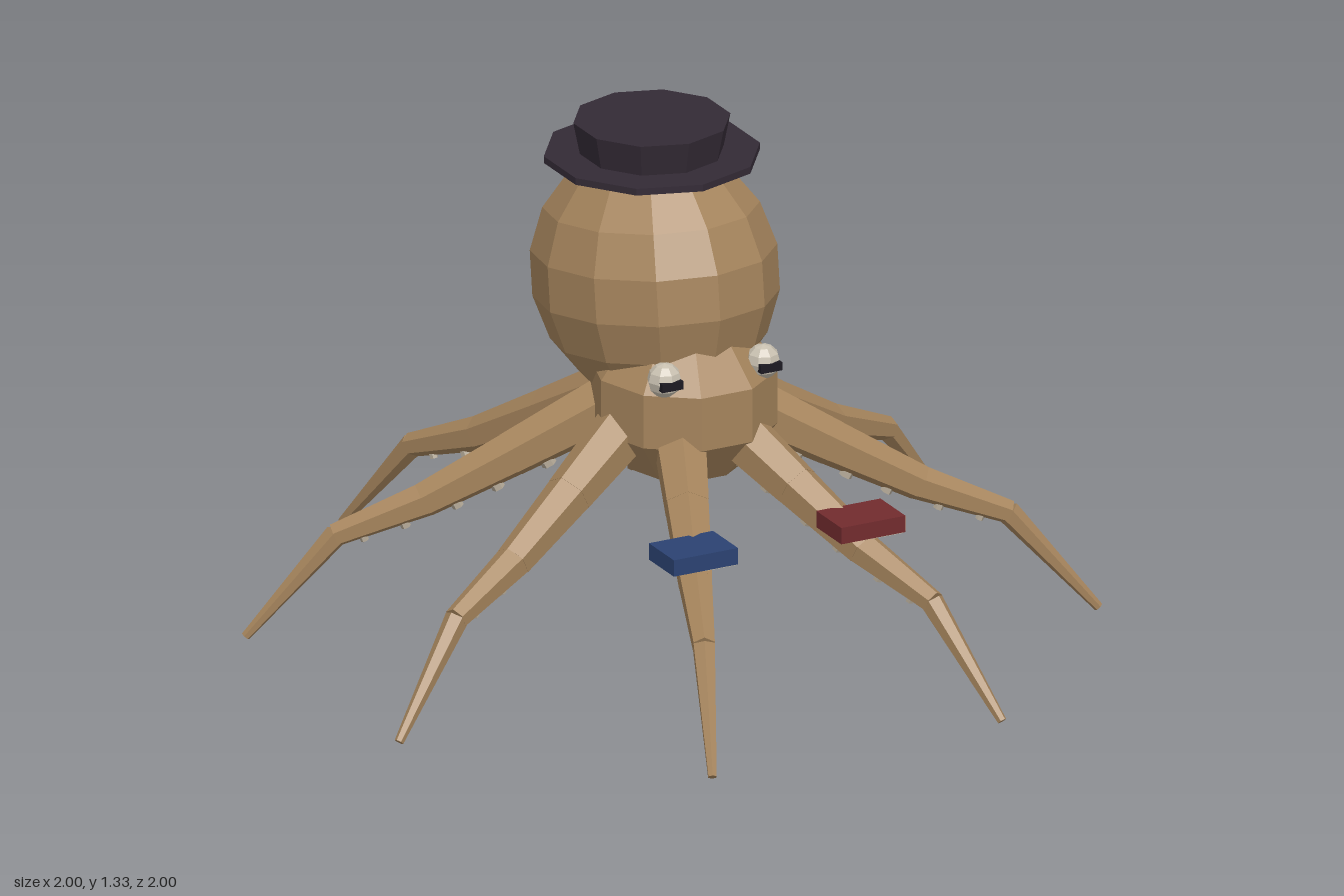
import * as THREE from 'three';

const mat = (name, color) => {
  const m = new THREE.MeshStandardMaterial({ color, flatShading: true });
  m.name = name;
  return m;
};

export function createModel() {
  const skin = mat('tan skin', 0xa5845c);
  const felt = mat('dark felt', 0x332a35);
  const white = mat('eye white', 0xc8c0b0);
  const black = mat('pupil black', 0x1c1a22);
  const sucker = mat('sucker grey', 0xb5aa98);
  const blue = mat('blue cover', 0x2b4272);
  const red = mat('red cover', 0x722b2e);
  const paper = mat('paper', 0xc8bfa8);

  const model = new THREE.Group();
  model.name = 'octopus';
  const add = (parent, name, geometry, material, x = 0, y = 0, z = 0) => {
    const mesh = new THREE.Mesh(geometry, material);
    mesh.name = name;
    mesh.position.set(x, y, z);
    parent.add(mesh);
    return mesh;
  };

  // Mantle leans back over the head
  const mantle = add(model, 'mantle', new THREE.SphereGeometry(1, 12, 9), skin, 0, 0.93, -0.092);
  mantle.scale.set(0.305, 0.34, 0.352);
  mantle.rotation.x = -0.12;
  const head = add(model, 'head', new THREE.SphereGeometry(1, 10, 5), skin, 0, 0.657, 0.064);
  head.scale.set(0.247, 0.23, 0.254);

  // Hat
  const hat = new THREE.Group();
  hat.name = 'hat';
  hat.position.z = -0.108;
  model.add(hat);
  add(hat, 'hatBrim', new THREE.CylinderGeometry(0.275, 0.275, 0.018, 10), felt, 0, 1.239, 0);
  add(hat, 'hatCrown', new THREE.CylinderGeometry(0.2, 0.182, 0.09, 10), felt, 0, 1.287, 0);

  // Eyes with slot pupils
  for (const side of [-1, 1]) {
    const eye = new THREE.Group();
    eye.name = side > 0 ? 'leftEye' : 'rightEye';
    eye.position.set(side * 0.14, 0.768, 0.224);
    model.add(eye);
    add(eye, 'eyeball', new THREE.SphereGeometry(0.045, 8, 6), white);
    add(eye, 'pupil', new THREE.BoxGeometry(0.06, 0.022, 0.032), black, 0, -0.004, 0.03);
  }

  // Tentacles: tapered segments along [distance out, height, radius]
  const path = [[0.17, 0.605, 0.075], [0.4, 0.482, 0.061], [0.62, 0.367, 0.047],
    [0.845, 0.28, 0.031], [1.074, 0.014, 0.012]];
  const up = new THREE.Vector3(0, 1, 0);
  for (let i = 0; i < 8; i++) {
    const arm = new THREE.Group();
    arm.name = `tentacle${i + 1}`;
    arm.rotation.y = Math.PI / 8 + i * Math.PI / 4;
    model.add(arm);
    for (let s = 0; s < 4; s++) {
      const [r0, y0, w0] = path[s];
      const [r1, y1, w1] = path[s + 1];
      const a = new THREE.Vector3(0, y0, r0);
      const b = new THREE.Vector3(0, y1, r1);
      const dir = b.clone().sub(a);
      const length = dir.length();
      const segment = new THREE.Group();
      segment.name = `segment${s + 1}`;
      segment.position.copy(a).add(b).multiplyScalar(0.5);
      segment.quaternion.setFromUnitVectors(up, dir.normalize());
      arm.add(segment);
      const overlap = s < 3 ? 0.012 : 0;
      add(segment, 'limb', new THREE.CylinderGeometry(w1, w0, length + overlap, 6), skin);
      // Suckers along the underside
      if (s === 3) continue;
      for (const t of [0.3, 0.75]) {
        const w = w0 + (w1 - w0) * t;
        const cup = add(segment, 'sucker', new THREE.CylinderGeometry(w * 0.3, w * 0.3, 0.016, 6),
          sucker, 0, (t - 0.5) * length, w);
        cup.rotation.x = Math.PI / 2;
      }
    }
  }

  // Books carried on the two front tentacles
  for (const [name, x, cover] of [['blueBook', -0.24, blue], ['redBook', 0.235, red]]) {
    const book = new THREE.Group();
    book.name = name;
    book.position.set(x, 0.437, 0.568);
    model.add(book);
    add(book, 'cover', new THREE.BoxGeometry(0.182, 0.044, 0.134), cover);
    add(book, 'pagesBelow', new THREE.BoxGeometry(0.09, 0.006, 0.13), paper, 0.042, -0.021, 0);
    if (cover === red) add(book, 'pageEdge', new THREE.BoxGeometry(0.006, 0.038, 0.132), paper, 0.09, 0.001, 0);
  }
  return model;
}
